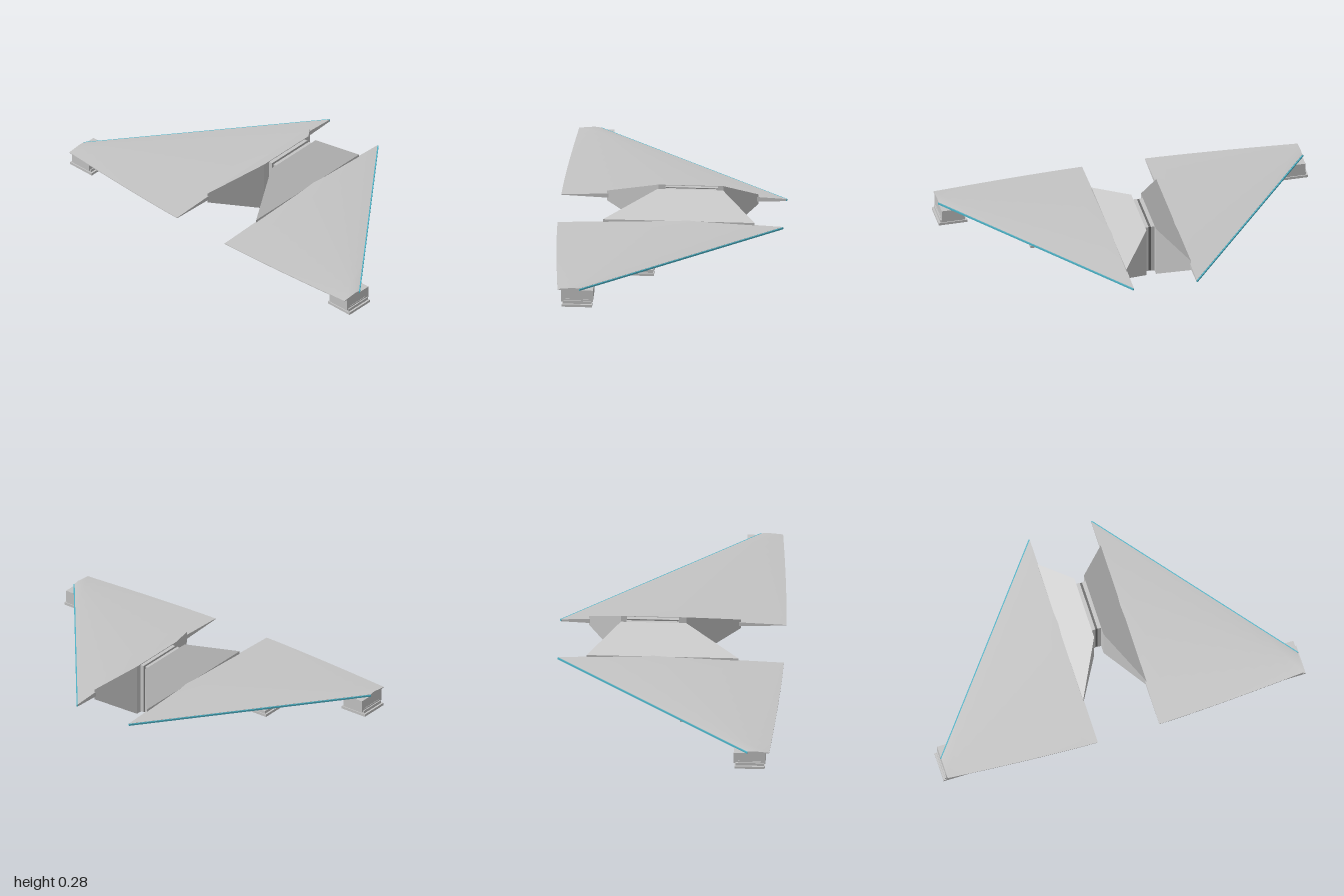
import * as THREE from 'three';
import { ConvexGeometry } from 'three/addons/geometries/ConvexGeometry.js';
import { toCreasedNormals } from 'three/addons/utils/BufferGeometryUtils.js';

const material = (name, color) => {
  const m = new THREE.MeshStandardMaterial({ color });
  m.name = name;
  return m;
};
const lerp = THREE.MathUtils.lerp;

export function createModel() {
  const hull = material('hull grey', 0xc4c4c4);
  const dark = material('seam grey', 0x6a6a6a);
  const teal = material('edge teal', 0x4fb4c8);

  const root = new THREE.Group();
  root.name = 'glider';

  const add = (parent, name, geometry, mat, x = 0, y = 0, z = 0) => {
    const mesh = new THREE.Mesh(geometry, mat);
    mesh.name = name;
    mesh.position.set(x, y, z);
    parent.add(mesh);
    return mesh;
  };
  const box = (parent, name, size, pos, mat = hull) =>
    add(parent, name, new THREE.BoxGeometry(...size), mat, ...pos);

  // Lens-shaped wing lofted from root to tip, blunt at the leading edge
  const LEAD = [[0.17, -0.59], [0.985, 0.44]];
  const MID = 0.144;
  function wingGeometry(s) {
    const steps = 10, n = 6, pos = [], index = [];
    for (let i = 0; i <= steps; i++) {
      const t = i / steps;
      const x = s * lerp(0.17, 0.985, t);
      const lead = lerp(LEAD[0][1], LEAD[1][1], t);
      const trail = 0.6 - 0.047 * Math.pow(t, 1.4);
      const ridge = lerp(-0.09, 0.47, t);
      const h = lerp(0.03, 0.01, t);
      const ring = [[lead, 0.006], [ridge, h], [trail, 0.002], [trail, -0.002], [ridge, -h], [lead, -0.006]];
      for (const [z, dy] of ring) pos.push(x, MID + dy, z);
    }
    const tri = (a, b, c) => (s > 0 ? index.push(a, b, c) : index.push(a, c, b));
    for (let i = 0; i < steps; i++) {
      for (let j = 0; j < n; j++) {
        const a = i * n + j, b = i * n + (j + 1) % n;
        tri(a, b, b + n);
        tri(a, b + n, a + n);
      }
    }
    // End caps
    const e = steps * n;
    for (let j = 1; j < n - 1; j++) {
      tri(0, j + 1, j);
      tri(e, e + j, e + j + 1);
    }
    const g = new THREE.BufferGeometry();
    g.setAttribute('position', new THREE.Float32BufferAttribute(pos, 3));
    g.setIndex(index);
    return toCreasedNormals(g, 0.5);
  }

  // Rectangle of corners at a given x
  const rect = (x, y0, y1, z0, z1) =>
    [[y0, z0], [y0, z1], [y1, z0], [y1, z1]].map(([y, z]) => new THREE.Vector3(x, y, z));

  // Square foot plate in two layers with a base panel and bolts
  function footPlate(pod, top, w, d) {
    box(pod, 'upperPlate', [w - 0.02, 0.016, d - 0.01], [0, top - 0.008, 0]);
    box(pod, 'lowerPlate', [w, 0.014, d], [0, top - 0.023, 0]);
    box(pod, 'basePanel', [w - 0.05, 0.004, d - 0.05], [0, top - 0.031, 0]);
    for (const x of [-1, 1]) for (const z of [-1, 1]) {
      add(pod, 'bolt', new THREE.CylinderGeometry(0.007, 0.007, 0.01, 8), hull,
        x * w * 0.26, top - 0.035, z * d * 0.32);
    }
  }

  for (const s of [1, -1]) {
    const side = new THREE.Group();
    side.name = s > 0 ? 'leftSide' : 'rightSide';
    root.add(side);

    // Half of the body: long and low at the wing, short and tall in the middle
    add(side, 'bodyHalf', new ConvexGeometry([
      ...rect(s * 0.175, 0.115, 0.171, -0.44, 0.36),
      ...rect(s * 0.026, 0, 0.285, -0.265, 0.08),
    ]), hull);
    box(side, 'jointPlate', [0.02, 0.278, 0.275], [s * 0.016, 0.1425, -0.0975]);

    add(side, 'wing', wingGeometry(s), hull);

    // Coloured strip standing proud of the blunt leading edge
    const [[x0, z0], [x1, z1]] = LEAD;
    const dx = x1 - x0, dz = z1 - z0, length = Math.hypot(dx, dz);
    const out = 0.002;
    const strip = box(side, 'leadingEdgeStrip', [length, 0.009, 0.008],
      [s * ((x0 + x1) / 2 + out * dz / length), MID, (z0 + z1) / 2 - out * dx / length], teal);
    strip.rotation.y = -s * Math.atan2(dz, dx);

    // Inner pod with a tapered block
    const inner = new THREE.Group();
    inner.name = 'innerPod';
    inner.position.set(s * 0.495, 0, 0.147);
    side.add(inner);
    add(inner, 'podBlock', new ConvexGeometry([
      ...rect(-0.05, 0.125, 0.13, -0.09, 0.09), ...rect(0.05, 0.125, 0.13, -0.09, 0.09),
      ...rect(-0.05, 0.064, 0.065, -0.07, 0.07), ...rect(0.05, 0.064, 0.065, -0.07, 0.07),
    ]), hull);
    footPlate(inner, 0.068, 0.16, 0.158);

    // Wing-tip pod
    const outer = new THREE.Group();
    outer.name = 'tipPod';
    outer.position.set(s * 0.923, 0, 0.45);
    side.add(outer);
    box(outer, 'podBlock', [0.123, 0.066, 0.168], [0, 0.107, 0]);
    box(outer, 'podRib', [0.127, 0.004, 0.12], [0, 0.088, 0]);
    footPlate(outer, 0.08, 0.154, 0.16);
  }

  // Dark seam between the two joint plates
  box(root, 'centreSeam', [0.013, 0.276, 0.27], [0, 0.1425, -0.0975], dark);

  return root;
}
